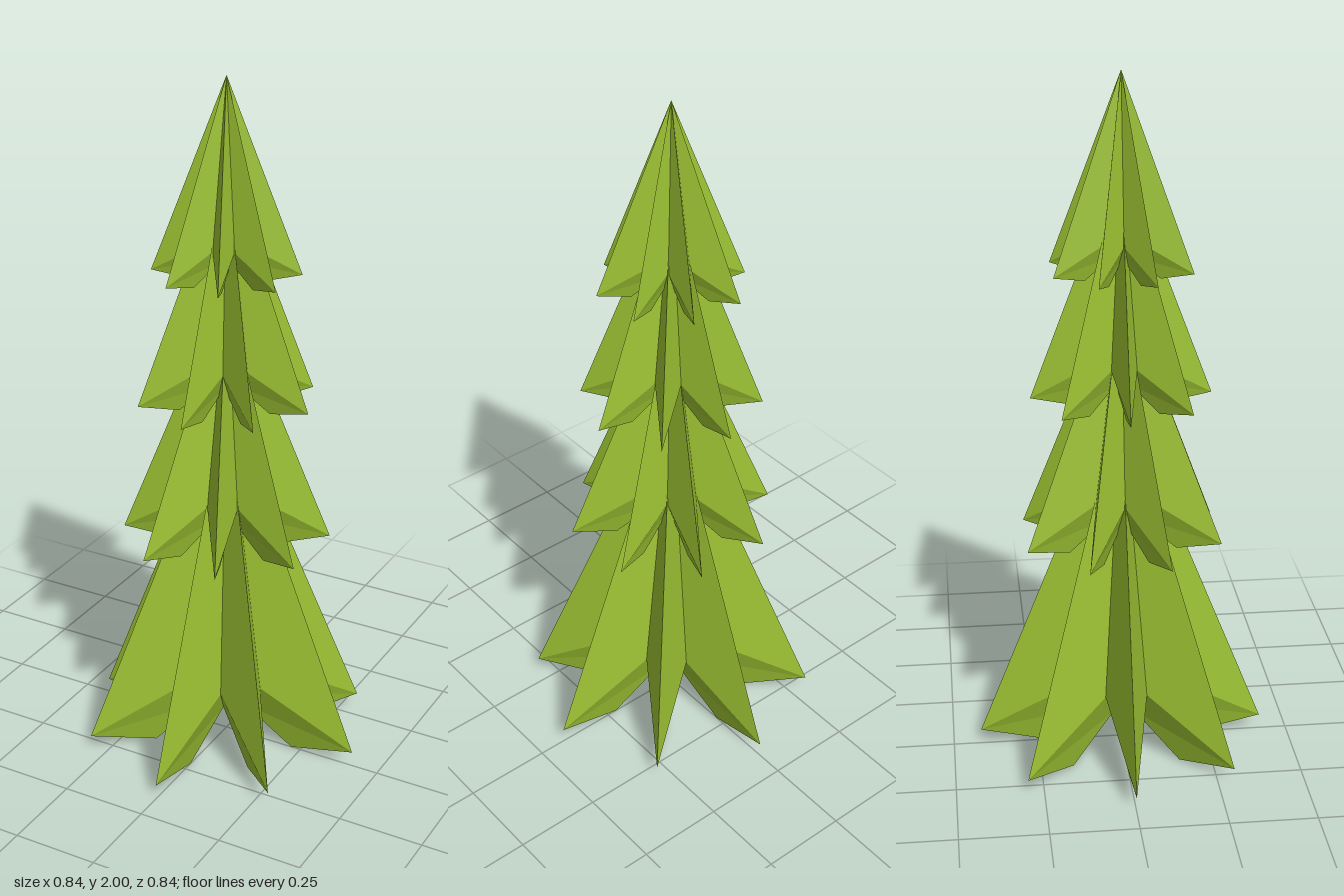
import * as THREE from 'three';

const POINTS = 8;

// One star of alternating tips and valleys, as a ring of 16 corners.
function starRing([tipR, tipY], [valleyR, valleyY], turn) {
  const ring = [];
  for (let i = 0; i < POINTS * 2; i++) {
    const a = turn + (i * Math.PI) / POINTS;
    const r = i % 2 ? valleyR : tipR;
    ring.push([r * Math.cos(a), i % 2 ? valleyY : tipY, r * Math.sin(a)]);
  }
  return ring;
}

// A folded star cone: pleated top, slanted rim below, hollow pleated underside.
function tierGeometry({ apex, tip, valley, innerTip, innerValley, hollow, turn }) {
  const outer = starRing(tip, valley, turn);
  const inner = starRing(innerTip, innerValley, turn);
  const top = [0, apex, 0];
  const centre = [0, hollow, 0];
  const corners = [];
  for (let i = 0; i < outer.length; i++) {
    const j = (i + 1) % outer.length;
    corners.push(top, outer[j], outer[i]);
    // Split every rim quad the same way on both sides of a tip
    if (i % 2) corners.push(outer[i], outer[j], inner[i], outer[j], inner[j], inner[i]);
    else corners.push(outer[i], outer[j], inner[j], outer[i], inner[j], inner[i]);
    corners.push(inner[i], inner[j], centre);
  }
  const geometry = new THREE.BufferGeometry();
  geometry.setAttribute('position', new THREE.Float32BufferAttribute(corners.flat(), 3));
  geometry.computeVertexNormals();
  return geometry;
}

export function createModel() {
  const tree = new THREE.Group();
  tree.name = 'firTree';
  const foliage = new THREE.MeshStandardMaterial({ color: 0x9ac032, flatShading: true });
  const half = Math.PI / POINTS;

  // Each pair is [radius, height]; every second tier is turned by half a point
  const tiers = {
    bottomTier: { apex: 1.1, tip: [0.419, 0.045], valley: [0.157, 0.215],
      innerTip: [0.22, 0], innerValley: [0.083, 0.125], hollow: 0.24, turn: 0 },
    lowerTier: { apex: 1.42, tip: [0.298, 0.672], valley: [0.112, 0.795],
      innerTip: [0.165, 0.643], innerValley: [0.062, 0.735], hollow: 0.82, turn: half },
    upperTier: { apex: 1.77, tip: [0.255, 1.092], valley: [0.093, 1.193],
      innerTip: [0.137, 1.068], innerValley: [0.05, 1.14], hollow: 1.22, turn: 0 },
    topTier: { apex: 2, tip: [0.207, 1.46], valley: [0.077, 1.54],
      innerTip: [0.112, 1.44], innerValley: [0.042, 1.5], hollow: 1.56, turn: half },
  };
  for (const [name, shape] of Object.entries(tiers)) {
    const mesh = new THREE.Mesh(tierGeometry(shape), foliage);
    mesh.name = name;
    tree.add(mesh);
  }
  return tree;
}
